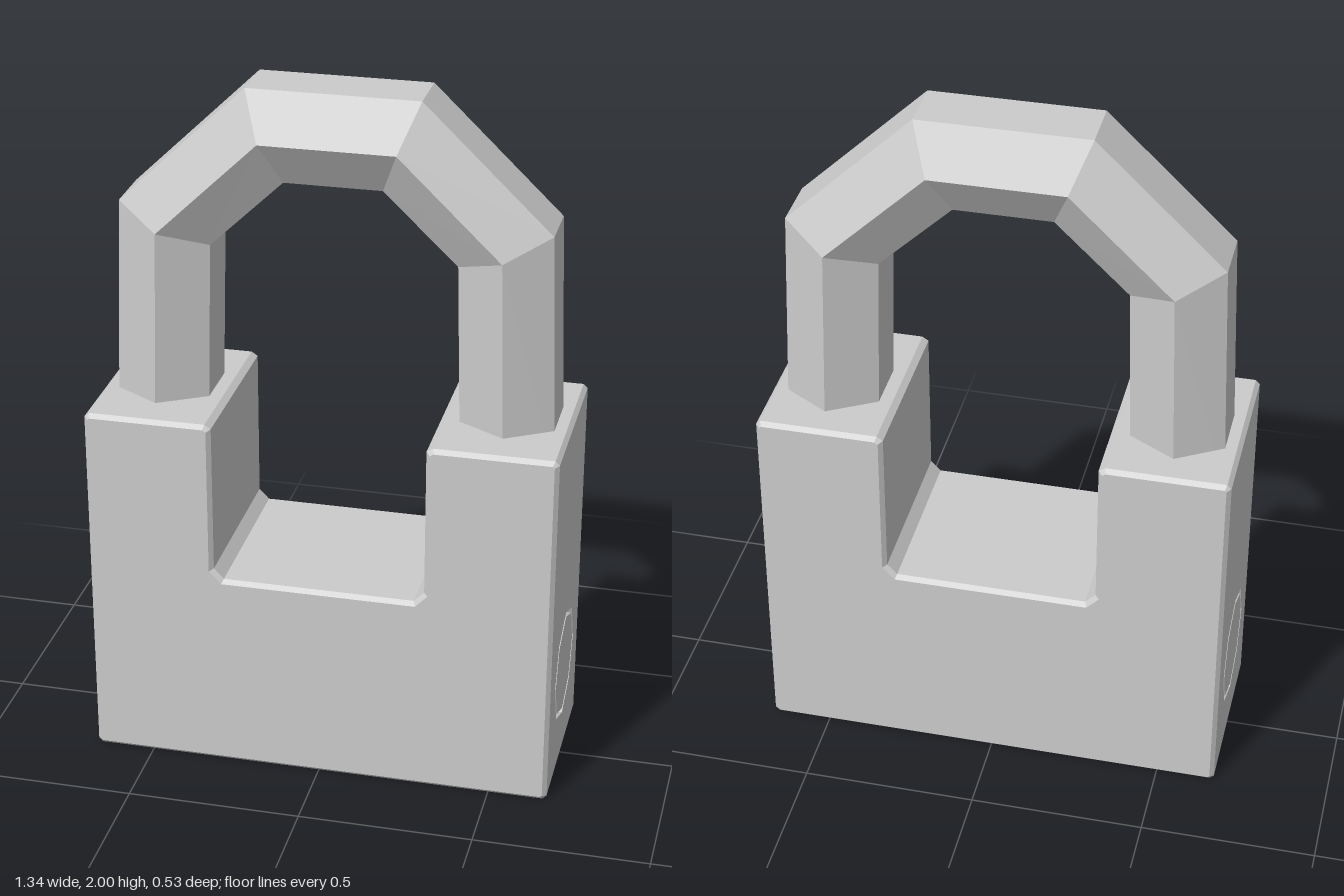
import * as THREE from 'three';

const material = (side = THREE.FrontSide) =>
  new THREE.MeshStandardMaterial({ color: 0xcccccc, flatShading: true, side });

const W = 0.67, H = 1.08, D = 0.265; // half width, height, half depth of the body
const BEVEL = 0.012;
const LOCK_Y = 0.305, HOLE_R = 0.168, PLUG_R = 0.152;

// Mirror a list of right-hand points to close a symmetric outline
const mirrored = (pts) => [...pts, ...pts.map(([x, y]) => [-x, y]).reverse()];

// U-shaped block with bevelled edges; its two outer side faces are left open
function bodyGeometry() {
  const outline = mirrored([
    [W - BEVEL, 0], [W, BEVEL], [W, H - BEVEL], [W - BEVEL, H],
    [0.31 + BEVEL, H], [0.31 - BEVEL / 2, H - BEVEL], [0.31 - BEVEL / 2, 0.63], [0.275, 0.6],
  ]);
  const shape = new THREE.Shape(outline.map(([x, y]) => new THREE.Vector2(x, y)));
  const geo = new THREE.ExtrudeGeometry(shape, {
    depth: 2 * (D - BEVEL), bevelEnabled: true, bevelSegments: 1,
    bevelThickness: BEVEL, bevelSize: BEVEL, bevelOffset: -BEVEL,
  });
  geo.translate(0, 0, BEVEL - D);
  const p = geo.attributes.position, kept = [];
  for (let i = 0; i < p.count; i += 3) {
    if ([0, 1, 2].every((k) => Math.abs(p.getX(i + k)) > W - 0.001)) continue;
    for (let k = 0; k < 3; k++) kept.push(p.getX(i + k), p.getY(i + k), p.getZ(i + k));
  }
  const open = new THREE.BufferGeometry();
  open.setAttribute('position', new THREE.Float32BufferAttribute(kept, 3));
  open.computeVertexNormals();
  return open;
}

// Side face with an octagonal opening
function sidePanelGeometry() {
  const z = D - BEVEL;
  const shape = new THREE.Shape([
    new THREE.Vector2(-z, BEVEL), new THREE.Vector2(z, BEVEL),
    new THREE.Vector2(z, H - BEVEL), new THREE.Vector2(-z, H - BEVEL),
  ]);
  const octagon = [];
  for (let i = 0; i < 8; i++) {
    const a = (-i * Math.PI) / 4;
    octagon.push(new THREE.Vector2(HOLE_R * Math.cos(a), LOCK_Y + HOLE_R * Math.sin(a)));
  }
  shape.holes.push(new THREE.Path(octagon));
  return new THREE.ShapeGeometry(shape);
}

// Hexagonal bar swept along the arch
function shackleGeometry() {
  // each station: outer, middle and inner edge as [x, y]
  const half = [
    [[0.63, 0.95], [0.499, 0.95], [0.363, 0.95]],
    [[0.605, 1.65], [0.48, 1.59], [0.347, 1.54]],
    [[0.242, 2], [0.19, 1.87], [0.138, 1.74]],
  ];
  const stations = [
    ...half.map((s) => s.map(([x, y]) => [-x, y])),
    ...half.slice().reverse(),
  ];
  const pos = [], index = [];
  for (const [o, m, n] of stations) {
    pos.push(...o, 0.07, ...m, 0.15, ...n, 0.07, ...n, -0.09, ...m, -0.17, ...o, -0.09);
  }
  for (let i = 0; i < stations.length - 1; i++) {
    for (let j = 0; j < 6; j++) {
      const a = i * 6 + j, b = i * 6 + ((j + 1) % 6);
      index.push(a, b, a + 6, b, b + 6, a + 6);
    }
  }
  const geo = new THREE.BufferGeometry();
  geo.setAttribute('position', new THREE.Float32BufferAttribute(pos, 3));
  geo.setIndex(index);
  const flat = geo.toNonIndexed();
  flat.computeVertexNormals();
  return flat;
}

export function createModel() {
  const group = new THREE.Group();
  const add = (name, geo, mat = material()) => {
    const mesh = new THREE.Mesh(geo, mat);
    mesh.name = name;
    group.add(mesh);
    return mesh;
  };

  add('body', bodyGeometry());
  add('shackle', shackleGeometry());

  // Side faces
  for (const s of [1, -1]) {
    const panel = add(s > 0 ? 'leftSidePanel' : 'rightSidePanel', sidePanelGeometry());
    panel.rotation.y = (s * Math.PI) / 2;
    panel.position.x = s * W;
  }

  // Lock bore and the plug inside it, with a thin gap between them
  const bore = add('lockBore', new THREE.CylinderGeometry(HOLE_R, HOLE_R, 2 * W, 8, 1, true),
    material(THREE.BackSide));
  const plug = add('lockPlug', new THREE.CylinderGeometry(PLUG_R, PLUG_R, 2 * W, 8));
  for (const part of [bore, plug]) {
    part.rotation.z = Math.PI / 2;
    part.position.y = LOCK_Y;
  }
  return group;
}
